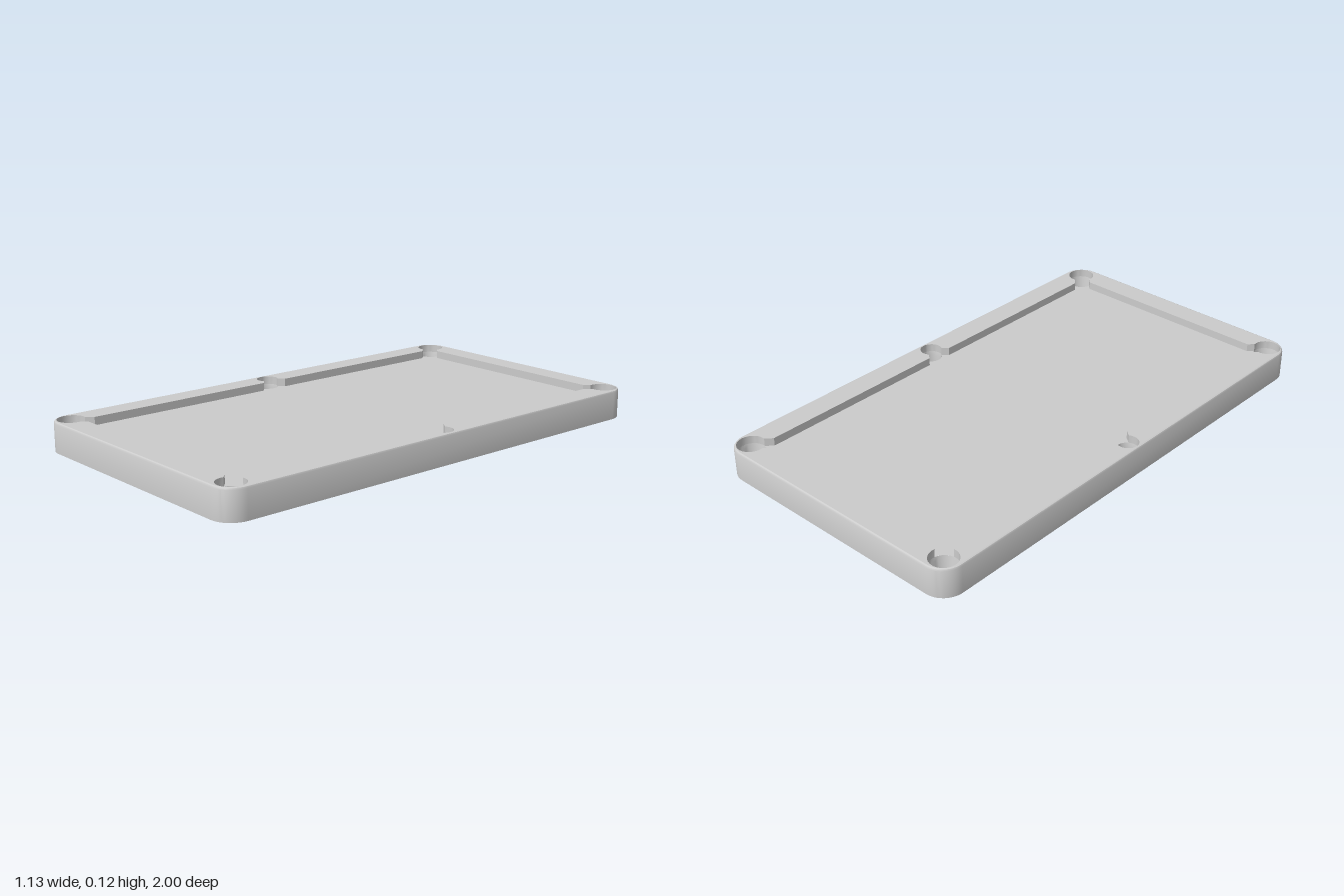
import * as THREE from 'three';
import { toCreasedNormals } from 'three/addons/utils/BufferGeometryUtils.js';

const HALF_W = 0.563, HALF_L = 1, CORNER = 0.085;
const TOP = 0.117, BED = 0.085, CUP_FLOOR = 0.012;
const CORNER_POCKET = { x: 0.495, z: 0.93, r: 0.054 };
const SIDE_POCKET = { x: 0.51, z: 0, r: 0.043 };

const material = new THREE.MeshStandardMaterial({ color: 0xcccccc, side: THREE.DoubleSide });

// Points on a circle, angles in degrees
function arc(c, from, to, steps) {
  return Array.from({ length: steps + 1 }, (_, i) => {
    const a = THREE.MathUtils.degToRad(from + (to - from) * i / steps);
    return new THREE.Vector2(c.x + c.r * Math.cos(a), c.z + c.r * Math.sin(a));
  });
}

// Mirror one quadrant of points into a full counter-clockwise loop
function mirrorLoop(quarter) {
  const half = [...quarter, ...quarter.slice().reverse().map(p => new THREE.Vector2(-p.x, p.y))];
  const all = [...half, ...half.map(p => p.clone().negate())];
  return all.filter((p, i) => p.distanceTo(all[(i + 1) % all.length]) > 1e-5);
}

// Rounded rectangle, moved inward by the inset
function outerLoop(inset) {
  const c = { x: HALF_W - CORNER, z: HALF_L - CORNER, r: CORNER - inset };
  return mirrorLoop(arc(c, 0, 90, 12));
}

// Cushion line with angled jaws; it runs round the pockets or cuts in front of them
function cushionLoop(aroundPockets) {
  return mirrorLoop([
    ...arc(SIDE_POCKET, aroundPockets ? 0 : 180, 122, 10),
    new THREE.Vector2(0.463, 0.055),
    new THREE.Vector2(0.463, 0.85),
    ...arc(CORNER_POCKET, aroundPockets ? -98 : 262, 190, 24),
    new THREE.Vector2(0.42, 0.9),
  ]);
}

// Surface through matching loops, each at its own height
function loft(rings) {
  const pos = [], index = [], n = rings[0].loop.length;
  for (const { loop, y } of rings) for (const p of loop) pos.push(p.x, y, -p.y);
  for (let k = 0; k < rings.length - 1; k++) {
    for (let i = 0; i < n; i++) {
      const j = (i + 1) % n, a = k * n + i, b = k * n + j;
      index.push(a, b, b + n, a, b + n, a + n);
    }
  }
  const g = new THREE.BufferGeometry();
  g.setAttribute('position', new THREE.Float32BufferAttribute(pos, 3));
  g.setIndex(index);
  return toCreasedNormals(g, 0.5);
}

// Horizontal sheet at a height
function sheet(loop, y, hole) {
  const shape = new THREE.Shape(loop);
  if (hole) shape.holes.push(new THREE.Path(hole));
  return new THREE.ShapeGeometry(shape).rotateX(-Math.PI / 2).translate(0, y, 0);
}

export function createModel() {
  const model = new THREE.Group();
  model.name = 'poolTableTop';
  const add = (name, geometry) => {
    const mesh = new THREE.Mesh(geometry, material);
    mesh.name = name;
    model.add(mesh);
    return mesh;
  };

  // Outer wall with a softened upper edge, open below
  add('outerWall', loft([
    { loop: outerLoop(0), y: 0 },
    { loop: outerLoop(0), y: TOP - 0.008 },
    { loop: outerLoop(0.003), y: TOP - 0.002 },
    { loop: outerLoop(0.008), y: TOP },
  ]));

  // Rails, cushion faces and playing bed
  const cushion = cushionLoop(true);
  add('railTop', sheet(outerLoop(0.008), TOP, cushion));
  add('cushionFace', loft([{ loop: cushion, y: TOP }, { loop: cushion, y: BED }]));
  add('playingBed', sheet(cushionLoop(false), BED));

  // Six tapered pocket cups with closed floors
  for (const p of [CORNER_POCKET, SIDE_POCKET]) {
    const floorR = Math.min(0.042, p.r - 0.004);
    const profile = [[0, CUP_FLOOR], [floorR, CUP_FLOOR], [p.r - 0.003, BED - 0.015], [p.r, BED]]
      .map(([r, y]) => new THREE.Vector2(r, y));
    const cup = toCreasedNormals(new THREE.LatheGeometry(profile, 32), 0.6);
    for (const sx of [-1, 1]) {
      for (const sz of p.z ? [-1, 1] : [1]) {
        add(p.z ? 'cornerPocket' : 'sidePocket', cup).position.set(sx * p.x, 0, sz * p.z);
      }
    }
  }
  return model;
}
